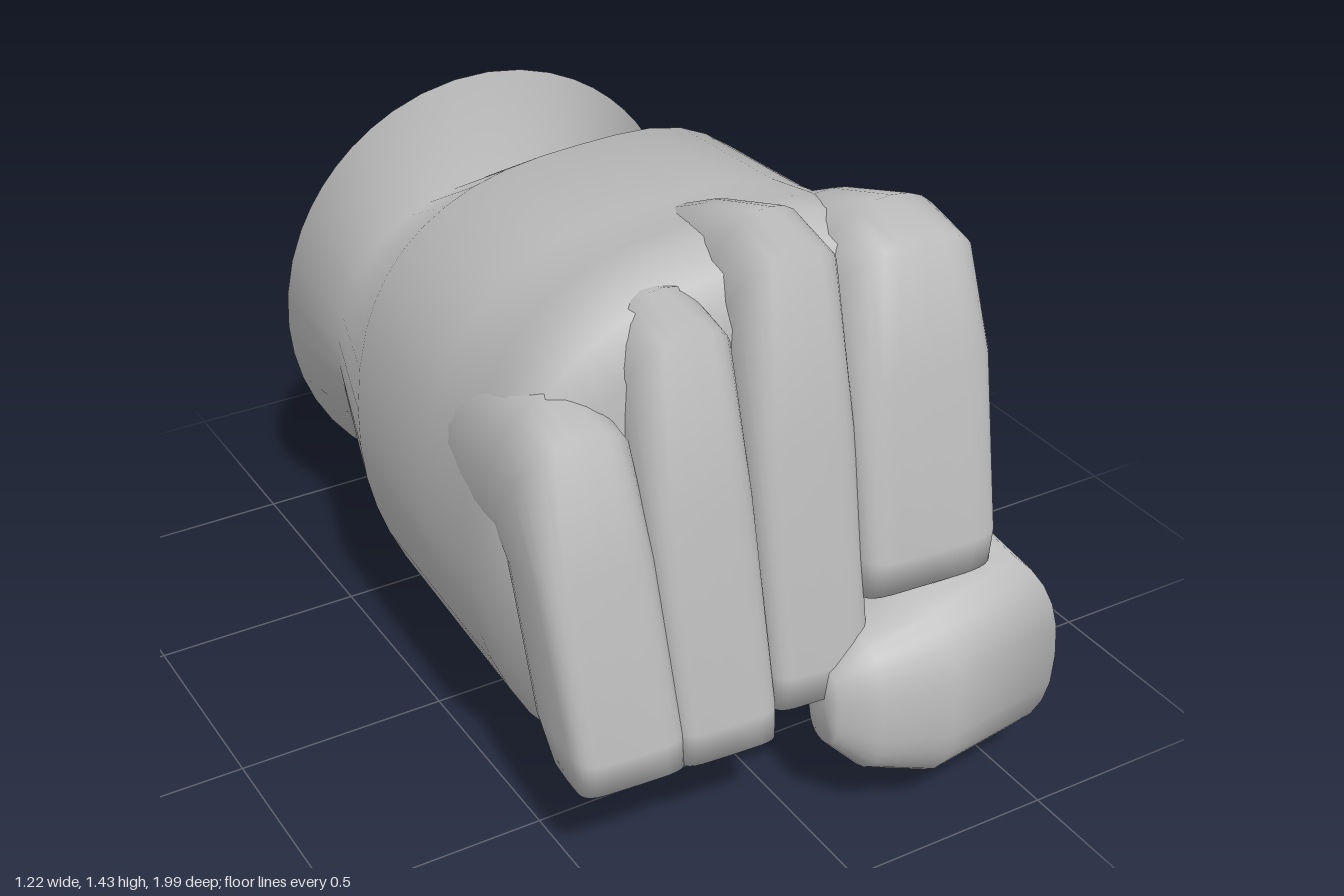
import * as THREE from 'three';

const V = (x, y, z) => new THREE.Vector3(x, y, z);
const TILT = 0.06; // the whole hand is turned slightly, so z drifts with x

// Skin a list of equal-length rings, closing the chosen ends with a fan
function loft(rings, capStart = true, capEnd = true) {
  const n = rings[0].length, pts = rings.flat(), idx = [];
  for (let r = 0; r < rings.length - 1; r++) {
    for (let i = 0; i < n; i++) {
      const j = (i + 1) % n, a = r * n, b = a + n;
      idx.push(a + i, a + j, b + j, a + i, b + j, b + i);
    }
  }
  const cap = (r, flip) => {
    const c = pts.length, base = r * n, mid = V(0, 0, 0);
    rings[r].forEach((p) => mid.addScaledVector(p, 1 / n));
    pts.push(mid);
    for (let i = 0; i < n; i++) {
      const j = (i + 1) % n;
      if (flip) idx.push(c, base + j, base + i);
      else idx.push(c, base + i, base + j);
    }
  };
  if (capStart) cap(0, true);
  if (capEnd) cap(rings.length - 1, false);
  // turn a closed skin outward when its volume comes out negative
  let volume = 0;
  const cross = V(0, 0, 0);
  for (let i = 0; i < idx.length; i += 3) {
    volume += pts[idx[i]].dot(cross.crossVectors(pts[idx[i + 1]], pts[idx[i + 2]]));
  }
  if (capStart && capEnd && volume < 0) idx.reverse();
  const geo = new THREE.BufferGeometry().setFromPoints(pts);
  geo.setIndex(idx);
  geo.computeVertexNormals();
  return geo;
}

// Rounded section between an outer and an inner point, with a half-width vector
function section(outer, inner, half, power, n = 28) {
  const mid = outer.clone().add(inner).multiplyScalar(0.5);
  const arm = outer.clone().sub(mid);
  const round = (t) => Math.sign(t) * Math.pow(Math.abs(t), 2 / power);
  return Array.from({ length: n }, (_, i) => {
    const a = (i / n) * Math.PI * 2;
    return mid.clone().addScaledVector(arm, round(Math.cos(a))).addScaledVector(half, round(Math.sin(a)));
  });
}

// Outline of the palm, seen from the front
const PALM = new THREE.CatmullRomCurve3([
  [0.54, 0.55], [0.52, 0.9], [0.45, 1.12], [0.27, 1.24], [0, 1.25], [-0.27, 1.2],
  [-0.45, 1.08], [-0.55, 0.9], [-0.58, 0.6], [-0.52, 0.35], [-0.38, 0.13], [-0.22, 0.06],
  [-0.05, 0.1], [0.15, 0], [0.32, 0.05], [0.45, 0.14], [0.53, 0.3],
].map(([x, y]) => V(x, y, 0)), true).getPoints(51).slice(0, 51);

// Ring at depth z within given bounds: oval when blend is 0, palm outline when 1
function handRing([z, x0, x1, y0, y1, blend]) {
  const cx = (x0 + x1) / 2, cy = (y0 + y1) / 2, rx = (x1 - x0) / 2, ry = (y1 - y0) / 2;
  return PALM.map((p) => {
    const px = (p.x + 0.02) / 0.56, py = (p.y - 0.625) / 0.625, len = Math.hypot(px, py);
    const k = blend + (1 - blend) / len;
    const x = cx + rx * px * k;
    return V(x, cy + ry * py * k, z + TILT * x);
  });
}

export function createModel() {
  const group = new THREE.Group();
  group.name = 'fist';
  const grey = new THREE.MeshStandardMaterial({ color: 0xbfbfbf });
  grey.name = 'grey';
  const add = (name, geo) => {
    const mesh = new THREE.Mesh(geo, grey);
    mesh.name = name;
    group.add(mesh);
  };

  // Flared cuff, narrow wrist and palm in one skin
  add('palmAndCuff', loft([
    [-0.98, -0.28, 0.38, 0.3, 0.97, 0],
    [-0.755, -0.5, 0.58, 0.11, 1.22, 0],
    [-0.52, -0.47, 0.42, 0.26, 1.06, 0.15],
    [-0.2, -0.56, 0.53, 0, 1.25, 1],
    [0.2, -0.585, 0.52, 0, 1.285, 1],
    [0.41, -0.6, 0.5, 0, 1.335, 1],
    [0.5, -0.605, 0.485, 0.08, 1.345, 1],
    [0.62, -0.595, 0.455, 0.27, 1.32, 1],
    [0.67, -0.53, 0.4, 0.4, 1.22, 1],
  ].map(handRing), false, true));

  // Hollow bowl inside the cuff opening, from its floor out to the rim
  const bowl = [[0.2, -0.68], [0.5, -0.71], [0.78, -0.78], [0.93, -0.87], [1, -0.98]];
  add('cuffBowl', loft(bowl.map(([s, z]) => handRing(
    [z, 0.05 - 0.33 * s, 0.05 + 0.33 * s, 0.635 - 0.335 * s, 0.635 + 0.335 * s, 0])), true, false));

  // Curled fingers: knuckle height, tip height, x at knuckle and tip, half width
  const fingers = [
    ['littleFinger', 1.14, 0.29, -0.48, -0.43, 0.128],
    ['ringFinger', 1.31, 0.29, -0.25, -0.205, 0.121],
    ['middleFinger', 1.435, 0.36, -0.012, 0.015, 0.121],
    ['indexFinger', 1.4, 0.58, 0.27, 0.27, 0.168],
  ];
  for (const [name, top, tip, xTop, xTip, w] of fingers) {
    const midY = (top + tip) / 2;
    // each row: outer z, y, inner z, y, width factor, squareness
    const rows = [
      [0.1, top - 0.22, 0.15, top - 0.5, 0.6, 2.2],
      [0.4, top - 0.07, 0.36, top - 0.5, 0.85, 2.2],
      [0.61, top, 0.46, top - 0.45, 1, 2.2],
      [0.73, top - 0.05, 0.5, top - 0.4, 1, 2.6],
      [0.785, midY + 0.08, 0.57, midY + 0.05, 1.03, 4],
      [0.85, tip + 0.09, 0.62, tip + 0.12, 1, 5],
      [0.835, tip, 0.68, tip + 0.02, 0.97, 6],
    ];
    add(name, loft(rows.map(([oz, oy, iz, iy, k, power]) => {
      const t = THREE.MathUtils.clamp((top - oy) / (top - tip), 0, 1);
      const x = xTop + (xTip - xTop) * t * t;
      return section(V(x, oy, oz + TILT * x), V(x, iy, iz + TILT * x), V(w * k, 0, TILT * w * k), power);
    })));
  }

  // Thumb along the side, bending across below the fingers
  // each row: outer x, z, inner x, z, bottom y, top y
  const thumb = [
    [0.37, -0.49, 0.1, -0.5, 0.45, 0.78],
    [0.61, -0.17, 0.18, -0.19, 0.1, 0.86],
    [0.605, 0.2, 0.2, 0.2, 0.095, 0.66],
    [0.595, 0.47, 0.22, 0.45, 0.09, 0.615],
    [0.585, 0.66, 0.25, 0.58, 0.09, 0.605],
    [0.55, 0.95, 0.27, 0.6, 0.1, 0.605],
    [0.25, 0.995, 0.22, 0.64, 0.11, 0.57],
    [0.09, 0.95, 0.09, 0.7, 0.17, 0.51],
    [0.015, 0.89, 0.015, 0.78, 0.25, 0.44],
  ];
  add('thumb', loft(thumb.map(([ox, oz, ix, iz, y0, y1]) => {
    const y = (y0 + y1) / 2;
    return section(V(ox, y, oz), V(ix, y, iz), V(0, (y1 - y0) / 2, 0), 2.5);
  })));

  return group;
}
